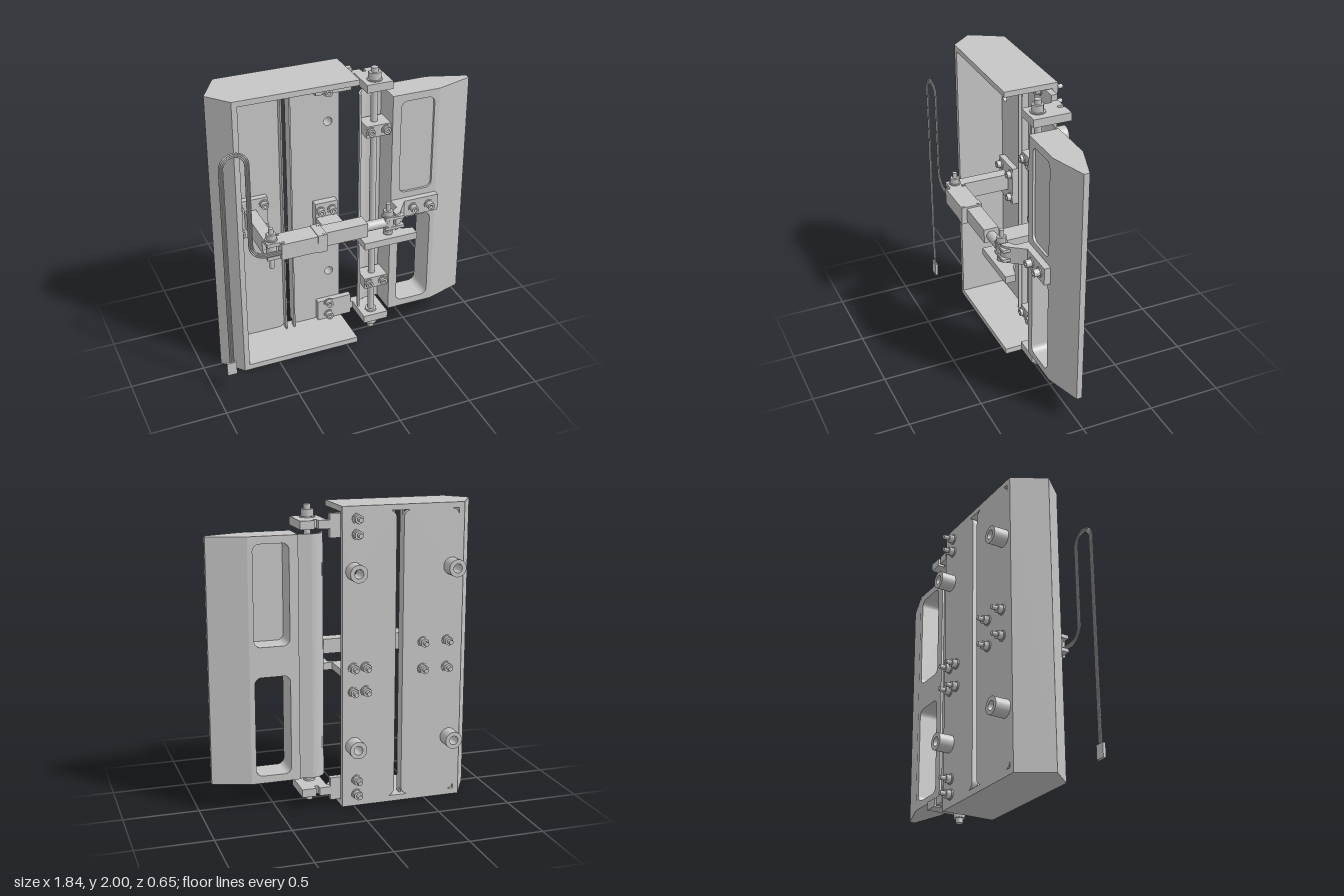
import * as THREE from 'three';

const grey = new THREE.MeshStandardMaterial({ color: 0xc6c6c6 });
grey.name = 'plain grey';

export function createModel() {
  const model = new THREE.Group();
  model.name = 'hingedFlapAssembly';

  const add = (name, geo, x = 0, y = 0, z = 0, parent = model) => {
    const m = new THREE.Mesh(geo, grey);
    m.name = name;
    m.position.set(x, y, z);
    parent.add(m);
    return m;
  };
  // box from its limits on each axis
  const box = (name, x0, x1, y0, y1, z0, z1) =>
    add(name, new THREE.BoxGeometry(x1 - x0, y1 - y0, z1 - z0), (x0 + x1) / 2, (y0 + y1) / 2, (z0 + z1) / 2);
  // cylinder along an axis between two limits; a and b are the other two coordinates in x, y, z order
  const rod = (name, axis, r, from, to, a, b, sides = 24, parent = model) => {
    const g = new THREE.CylinderGeometry(r, r, to - from, sides);
    const c = (from + to) / 2;
    if (axis === 'x') return add(name, g.rotateZ(Math.PI / 2), c, a, b, parent);
    if (axis === 'z') return add(name, g.rotateX(Math.PI / 2), a, b, c, parent);
    return add(name, g, a, c, b, parent);
  };
  // plan outline of [x, z] points, extruded upward
  const planSolid = (name, pts, y0, y1) => {
    const s = new THREE.Shape(pts.map(([x, z]) => new THREE.Vector2(x, -z)));
    const g = new THREE.ExtrudeGeometry(s, { depth: y1 - y0, bevelEnabled: false });
    return add(name, g.rotateX(-Math.PI / 2), 0, y0, 0);
  };
  // rectangle outline; rl and rr round the left and right corners
  const rounded = (T, x0, x1, y0, y1, rl, rr) => {
    const p = new T();
    p.moveTo(x0 + rl, y0);
    p.lineTo(x1 - rr, y0);
    if (rr) p.absarc(x1 - rr, y0 + rr, rr, -Math.PI / 2, 0);
    p.lineTo(x1, y1 - rr);
    if (rr) p.absarc(x1 - rr, y1 - rr, rr, 0, Math.PI / 2);
    p.lineTo(x0 + rl, y1);
    if (rl) p.absarc(x0 + rl, y1 - rl, rl, Math.PI / 2, Math.PI);
    p.lineTo(x0, y0 + rl);
    if (rl) p.absarc(x0 + rl, y0 + rl, rl, Math.PI, Math.PI * 1.5);
    return p;
  };
  const circle = (x, y, r) => new THREE.Path().absarc(x, y, r, 0, Math.PI * 2);
  const plate = (name, shape, z0, z1, parent = model) =>
    add(name, new THREE.ExtrudeGeometry(shape, { depth: z1 - z0, bevelEnabled: false, curveSegments: 16 }), 0, 0, z0, parent);
  const ring = (name, x, y, r, hole, z0, z1, parent) => {
    const s = new THREE.Shape(circle(x, y, r).getPoints(28));
    s.holes.push(circle(x, y, hole));
    return plate(name, s, z0, z1, parent);
  };
  // run for the upper and the lower half; f mirrors a height, span keeps limits sorted
  const bothEnds = (fn) => [(y) => y, (y) => 2 - y].forEach((f) => fn(f, (a, b) => [f(a), f(b)].sort((p, q) => p - q)));

  // Housing: end plates, nose and back panels
  const plan = [[-0.874, -0.01], [-0.75, -0.227], [0.08, -0.227], [0.08, 0.137], [-0.75, 0.137]];
  planSolid('bottomPlate', plan, 0, 0.04);
  planSolid('topPlate', plan, 1.963, 2);
  planSolid('nose', [[-0.874, -0.01], [-0.75, -0.227], [-0.714, -0.227], [-0.714, 0.137], [-0.75, 0.137]], 0.04, 1.963);
  const mountY = [0.42, 1.585];
  [[-0.714, -0.335, 0.05, 0.05, -0.67], [-0.285, 0.08, 0.05, 0, 0]].forEach(([x0, x1, rl, rr, hx]) => {
    const s = rounded(THREE.Shape, x0, x1, 0.04, 1.963, rl, rr);
    mountY.forEach((y) => s.holes.push(circle(hx, y, 0.03)));
    plate('backPanel', s, -0.227, -0.19);
    // hollow standoffs on the back
    mountY.forEach((y) => ring('standoff', hx, y, 0.058, 0.03, -0.328, -0.227));
  });
  box('dividerFlange', -0.345, -0.335, 0.04, 1.963, -0.19, -0.145);
  box('dividerFlange', -0.285, -0.275, 0.04, 1.963, -0.19, -0.145);

  // Washer and socket head facing forward
  const socketHead = (x, y, z, height, parent = model) => {
    rod('washer', 'z', 0.034, z, z + 0.007, x, y, 20, parent);
    ring('socketHead', x, y, 0.025, 0.012, z + 0.007, z + height, parent);
  };
  // Through bolts with a socket head in front and a nut behind
  const throughBolt = (x, y, zFront) => {
    const g = new THREE.Group();
    g.name = 'throughBolt';
    model.add(g);
    rod('shank', 'z', 0.015, -0.305, zFront, x, y, 12, g);
    rod('rearWasher', 'z', 0.036, -0.235, -0.227, x, y, 20, g);
    rod('nut', 'z', 0.031, -0.268, -0.235, x, y, 6, g);
    socketHead(x, y, zFront, 0.037, g);
  };
  bothEnds((f) => [1.82, 1.92].forEach((y) => throughBolt(-0.02, f(y), -0.15)));
  [-0.08, 0.005].forEach((x) => [0.79, 0.95].forEach((y) => throughBolt(x, y, -0.14)));
  [-0.645, -0.475].forEach((x) => [0.91, 1.09].forEach((y) => throughBolt(x, y, -0.15)));

  // Hinge brackets, shaft nuts and clamps
  bothEnds((f, span) => {
    box('hingeBracketPlate', -0.1, 0.15, ...span(1.8, 1.955), -0.19, -0.15);
    box('hingeBracketWeb', 0.15, 0.225, ...span(1.86, 1.915), -0.195, -0.145);
    box('hingeBracketWeb', 0.25, 0.345, ...span(1.86, 1.915), -0.195, -0.145);
    box('hingeEar', 0.165, 0.345, ...span(1.86, 1.915), -0.15, 0.06);
    rod('shaftWasher', 'y', 0.05, ...span(1.915, 1.922), 0.247, -0.012);
    rod('shaftNut', 'y', 0.042, ...span(1.922, 1.968), 0.247, -0.012, 6);
    rod('shaftCollar', 'y', 0.04, ...span(1.845, 1.86), 0.247, -0.012);
    box('shaftClamp', 0.165, 0.335, ...span(1.543, 1.625), -0.08, 0.06);
    [0.195, 0.302].forEach((x) => socketHead(x, f(1.584), 0.06, 0.025));
  });
  rod('hingeShaft', 'y', 0.023, 0, 2, 0.247, -0.012);

  // Flap: windowed body and tapered trailing edge
  const body = rounded(THREE.Shape, 0.335, 0.665, 0.185, 1.82, 0, 0);
  body.holes.push(rounded(THREE.Path, 0.395, 0.632, 0.235, 0.905, 0.045, 0.045));
  body.holes.push(rounded(THREE.Path, 0.395, 0.632, 1.105, 1.77, 0.045, 0.045));
  plate('flapBody', body, -0.112, 0.087);
  plate('windowCover', rounded(THREE.Shape, 0.395, 0.632, 1.105, 1.77, 0.045, 0.045), 0.058, 0.07);
  planSolid('flapTrailingEdge', [[0.665, -0.112], [0.915, -0.028], [0.915, 0.01], [0.665, 0.087]], 0.185, 1.82);
  // Curved leading edge wrapping behind the shaft
  const lip = new THREE.Shape();
  lip.moveTo(0.335, 0.112);
  lip.absarc(0.247, 0.012, 0.1, Math.PI / 2, Math.PI, false);
  lip.absarc(0.247, 0.012, 0.086, Math.PI, Math.PI / 2, true);
  lip.lineTo(0.335, 0.098);
  const lipGeo = new THREE.ExtrudeGeometry(lip, { depth: 1.635, bevelEnabled: false, curveSegments: 16 });
  add('flapLeadingEdge', lipGeo.rotateX(-Math.PI / 2), 0, 0.185, 0);

  // Control horn on the flap
  box('hornPlate', 0.335, 0.665, 0.94, 1.06, 0.087, 0.13);
  planSolid('hornArm', [[0.335, 0.1], [0.415, 0.13], [0.33, 0.245], [0.29, 0.265], [0.29, 0.205], [0.335, 0.18]], 0.94, 1.06);
  [[0.955, 0.975], [1.025, 1.045]].forEach(([a, b]) => box('hornForkPlate', 0.215, 0.35, a, b, 0.2, 0.27));
  [0.48, 0.597].forEach((x) => socketHead(x, 1, 0.13, 0.045));

  // Stop bracket reaching forward from the housing
  box('stopBracketPlate', -0.115, 0.045, 0.735, 1.01, -0.19, -0.14);
  planSolid('stopArm', [[-0.11, -0.15], [0.04, -0.15], [0.04, 0.12], [0.2, 0.12], [0.28, 0.15], [0.35, 0.2],
    [0.435, 0.22], [0.435, 0.29], [0.06, 0.29], [0.06, 0.155], [-0.11, 0.135]], 0.855, 0.905);

  // Actuator mount on the housing
  box('mountPlate', -0.68, -0.448, 0.86, 1.14, -0.19, -0.15);
  box('mountArm', -0.61, -0.53, 0.94, 1.06, -0.15, 0.19);
  [[0.94, 0.965], [1.035, 1.06]].forEach(([a, b]) => box('mountForkPlate', -0.61, -0.525, a, b, 0.19, 0.288));

  // Pivot pins with nuts
  [[-0.565, 0.85, 1.145, 1.06], [0.247, 0.905, 1.14, 1.045]].forEach(([x, y0, y1, top]) => {
    rod('pivotPin', 'y', 0.016, y0, y1, x, 0.235, 16);
    rod('pivotWasher', 'y', 0.04, top, top + 0.008, x, 0.235);
    rod('pivotNut', 'y', 0.034, top + 0.008, top + 0.045, x, 0.235, 6);
    rod('pivotHead', 'y', 0.03, top - 0.13, top - 0.105, x, 0.235);
  });

  // Linear actuator
  rod('rearEye', 'y', 0.035, 0.968, 1.032, -0.565, 0.235);
  box('rearLug', -0.565, -0.52, 0.97, 1.03, 0.21, 0.26);
  box('motorHousing', -0.525, -0.28, 0.945, 1.06, 0.18, 0.32);
  box('motorCollar', -0.28, -0.218, 0.94, 1.065, 0.177, 0.322);
  box('actuatorTube', -0.218, 0.08, 0.952, 1.052, 0.185, 0.285);
  rod('actuatorRod', 'x', 0.034, 0.08, 0.225, 1, 0.235);
  rod('rodEnd', 'y', 0.036, 0.976, 1.024, 0.247, 0.235);
  [-0.51, -0.235].forEach((x) => [0.197, 0.303].forEach((z) => rod('housingScrew', 'y', 0.01, 0.94, 1.068, x, z, 12)));

  // Three-wire cable with its connector
  [-0.011, 0, 0.011].forEach((o) => {
    const pts = [[-0.52, 0.99 - o]];
    const arc = (cx, cy, r, a0, a1) => {
      for (let i = 0; i <= 12; i++) {
        const a = a0 + (a1 - a0) * i / 12;
        pts.push([cx + r * Math.cos(a), cy + r * Math.sin(a)]);
      }
    };
    arc(-0.62, 1.09, 0.1 + o, Math.PI * 1.5, Math.PI);
    arc(-0.802, 1.655, 0.082 - o, 0, Math.PI);
    pts.push([-0.884 + o, 0.22]);
    const path = new THREE.CurvePath();
    const v = pts.map(([x, y]) => new THREE.Vector3(x, y, 0.295));
    for (let i = 1; i < v.length; i++) path.add(new THREE.LineCurve3(v[i - 1], v[i]));
    add('cableWire', new THREE.TubeGeometry(path, 240, 0.0055, 8));
  });
  box('cableConnector', -0.92, -0.855, 0.135, 0.23, 0.285, 0.305);

  return model;
}
